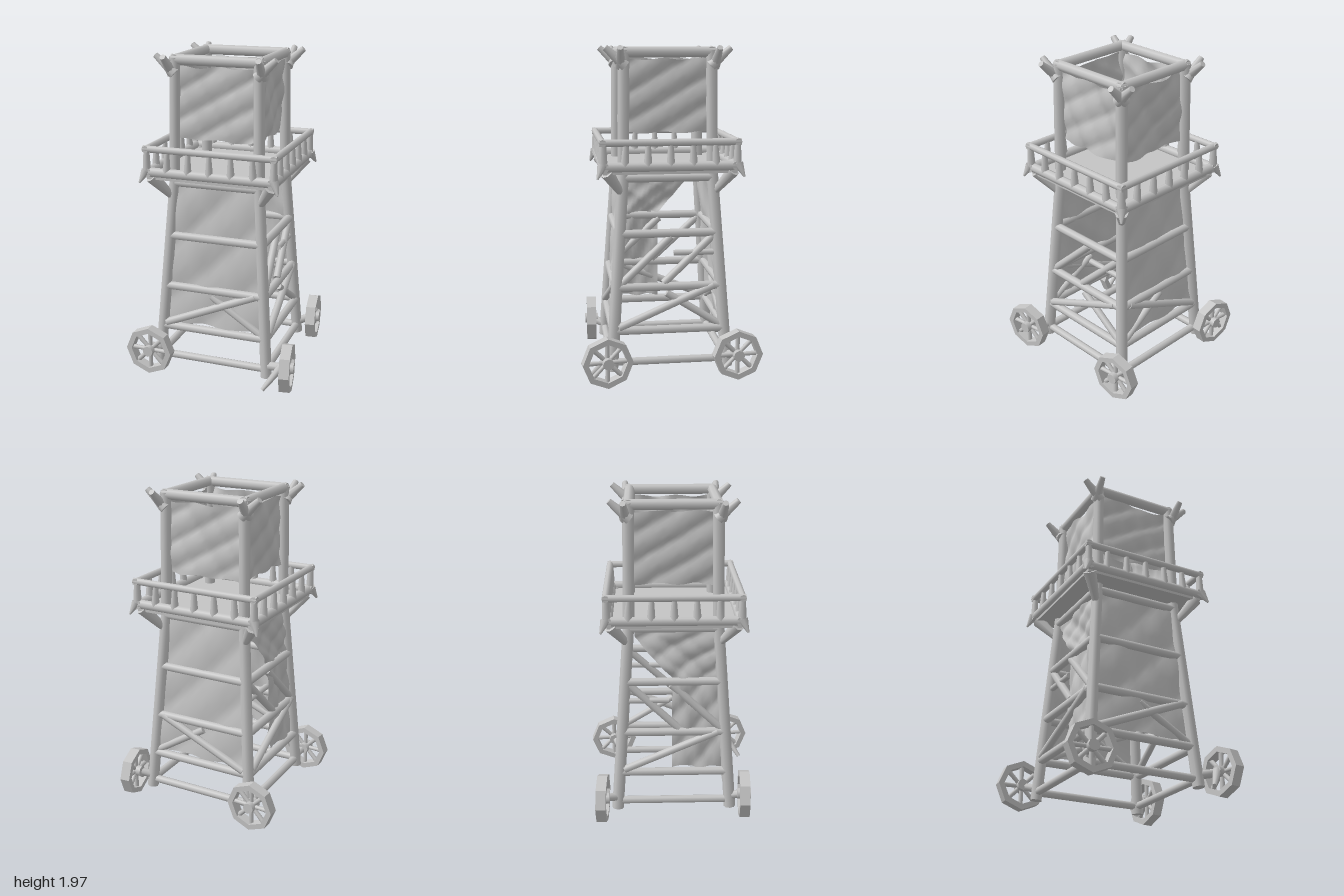
import * as THREE from 'three';

const V = (x, y, z) => new THREE.Vector3(x, y, z);

export function createModel() {
  const tower = new THREE.Group();
  tower.name = 'siegeTower';
  const weathered = new THREE.MeshStandardMaterial({ color: 0xc4c4c4, side: THREE.DoubleSide });
  weathered.name = 'weatheredGrey';

  const add = (parent, name, geometry) => {
    const mesh = new THREE.Mesh(geometry, weathered);
    mesh.name = name;
    parent.add(mesh);
    return mesh;
  };
  // Round timber between two points, optionally tapered
  const beam = (parent, name, a, b, r = 0.025, rEnd = r) => {
    const mesh = add(parent, name, new THREE.CylinderGeometry(rEnd, r, a.distanceTo(b), 8));
    mesh.position.copy(a).add(b).multiplyScalar(0.5);
    mesh.quaternion.setFromUnitVectors(V(0, 1, 0), b.clone().sub(a).normalize());
    return mesh;
  };
  // Half width of the frame at a height: legs lean in, upper posts are straight
  const half = (y) => y > 1.25 ? 0.256 : THREE.MathUtils.lerp(0.35, 0.265, (y - 0.05) / 1.2);
  const onSide = (u, y, out = 0) => V(u * half(y), y, half(y) + out);

  // Crumpled hide stretched over one side, with slightly uneven top and bottom edges
  const hide = (parent, name, y0, y1, left, right, seed, inset = 0) => {
    const nx = 16, ny = 20;
    const geo = new THREE.PlaneGeometry(1, 1, nx, ny);
    const p = geo.attributes.position;
    for (let i = 0; i < p.count; i++) {
      const s = p.getX(i) + 0.5, t = p.getY(i) + 0.5;
      const ragged = 0.006 * Math.sin(s * 13 + seed) * (1 - Math.min(t, 1 - t) * 2) ** 4;
      const y = THREE.MathUtils.lerp(y0, y1, t) + ragged;
      const u = THREE.MathUtils.lerp(left(y), right(y), s);
      // Soft sag plus sharper creases running in two directions
      const fold = 0.009 * Math.sin(s * 7 + t * 4 + seed * 2)
        + 0.014 * (Math.abs(Math.sin(t * 8 - s * 5 + seed)) - 0.6)
        + 0.012 * (Math.abs(Math.sin(t * 5 + s * 9 + seed * 3)) - 0.6);
      const q = onSide(u, y, fold - inset);
      p.setXYZ(i, q.x, q.y, q.z);
    }
    geo.computeVertexNormals();
    add(parent, name, geo);
  };

  // Corner timbers
  for (const x of [-1, 1]) for (const z of [-1, 1]) {
    const at = (h, y) => V(x * h, y, z * h);
    beam(tower, 'leg', at(half(0.07), 0.07), at(half(1.25), 1.25), 0.036, 0.034);
    beam(tower, 'upperPost', at(half(1.24), 1.22), at(0.256, 1.96), 0.034);
    beam(tower, 'platformBracket', at(0.27, 1.12), at(0.37, 1.27), 0.02, 0.04);
    beam(tower, 'cornerSpike', at(0.395, 1.31), at(0.425, 1.24), 0.03, 0.006);
    beam(tower, 'cornerPost', at(0.39, 1.3), at(0.39, 1.44), 0.026, 0.018);
    // Splayed beam ends at the crown
    beam(tower, 'crownHorn', V(x * 0.25, 1.87, z * 0.275), V(x * 0.365, 1.975, z * 0.285), 0.034, 0.018);
    beam(tower, 'crownHorn', V(x * 0.275, 1.87, z * 0.25), V(x * 0.285, 1.975, z * 0.365), 0.034, 0.018);
  }

  // Four sides: front, left, back, right
  const full = (w) => [() => -w, () => w];
  for (let k = 0; k < 4; k++) {
    const side = new THREE.Group();
    side.name = ['frontSide', 'leftSide', 'backSide', 'rightSide'][k];
    side.rotation.y = k * Math.PI / 2;
    tower.add(side);
    const bar = (name, u0, y0, u1, y1, r, out = 0) =>
      beam(side, name, onSide(u0, y0, out), onSide(u1, y1, out), r);

    bar('baseBeam', -1, 0.12, 1, 0.12, 0.024);
    for (const y of [0.31, 0.57, 0.89, 1.22]) bar('crossBeam', -1, y, 1, y, 0.026, 0.005);
    bar('crownBeam', -1.08, 1.95, 1.08, 1.95, 0.031);

    // Diagonal braces
    const low = k === 2 ? -1 : 1;
    bar('lowerBrace', -0.92 * low, 0.33, 0.85 * low, 0.57, 0.024, 0.012);
    if (k !== 3) bar('lowerBrace', 0.92 * low, 0.33, -0.05 * low, 0.53, 0.022);
    if (k % 2) {
      const high = k === 3 ? -1 : 1;
      bar('upperBrace', -0.92 * high, 0.59, 0.05 * high, 0.87, 0.024);
      bar('upperBrace', -0.1 * high, 0.59, 0.92 * high, 0.87, 0.024);
      bar('shortBrace', 0.1 * high, 0.77, 0.95 * high, 0.77, 0.018);
    }

    // Hides
    hide(side, 'upperHide', 1.485, 1.91, ...full(0.92), k + 1, 0.005);
    if (k % 2 === 0) hide(side, 'lowerHide', 0.34, 1.21, ...full(0.98), k + 2);
    if (k === 3) {
      hide(side, 'cutHide', 0.9, 1.21, (y) => -0.86 * THREE.MathUtils.clamp((y - 0.9) / 0.27, 0, 1), () => 0.96, 3);
      hide(side, 'hangingHide', 0.34, 0.91, () => -0.03, () => 0.94, 5);
    }

    // Balcony rails and balusters
    beam(side, 'topRail', V(-0.41, 1.44, 0.392), V(0.41, 1.44, 0.392), 0.021);
    beam(side, 'bottomRail', V(-0.41, 1.3, 0.385), V(0.41, 1.3, 0.385), 0.029);
    for (let i = -2; i <= 2; i++)
      beam(side, 'baluster', V(i * 0.133, 1.3, 0.387), V(i * 0.13, 1.44, 0.387), 0.026, 0.014);
  }

  // Balcony floor
  add(tower, 'platform', new THREE.BoxGeometry(0.78, 0.03, 0.78)).position.y = 1.272;

  // Eight-sided spoked wheel with its axis along z
  const octagon = (shape, r) => {
    const pts = [];
    for (let i = 0; i < 8; i++) {
      const a = i * Math.PI / 4;
      pts.push(new THREE.Vector2(r * Math.cos(a), r * Math.sin(a)));
    }
    return shape.setFromPoints(pts);
  };
  const wheel = (x, z, turn, legX, legZ) => {
    const g = new THREE.Group();
    g.name = 'wheel';
    g.position.set(x, 0.172, z);
    g.rotation.y = turn;
    tower.add(g);
    const ring = octagon(new THREE.Shape(), 0.15);
    ring.holes.push(octagon(new THREE.Path(), 0.116));
    const rim = new THREE.ExtrudeGeometry(ring, { depth: 0.062, bevelEnabled: false });
    add(g, 'rim', rim.translate(0, 0, -0.031));
    add(g, 'hub', new THREE.CylinderGeometry(0.034, 0.034, 0.085, 8)).rotation.x = Math.PI / 2;
    for (let i = 0; i < 8; i++) {
      const a = i * Math.PI / 4;
      beam(g, 'spoke', V(0, 0, 0), V(0.125 * Math.cos(a), 0.125 * Math.sin(a), 0), 0.012, 0.015);
    }
    beam(tower, 'axle', V(legX, 0.14, legZ), V(x, 0.172, z), 0.028, 0.022);
  };
  wheel(-0.38, 0.433, -0.04, -0.34, 0.34);
  wheel(-0.41, -0.438, -0.06, -0.34, -0.34);
  wheel(0.488, 0.385, Math.PI / 2 + 0.14, 0.34, 0.34);
  wheel(0.446, -0.395, Math.PI / 2 + 0.09, 0.34, -0.34);

  // Loose strut reaching from the front corner to the turned wheel
  beam(tower, 'wheelStrut', V(0.365, 0.05, 0.48), V(0.45, 0.17, 0.39), 0.012, 0.025);

  return tower;
}
